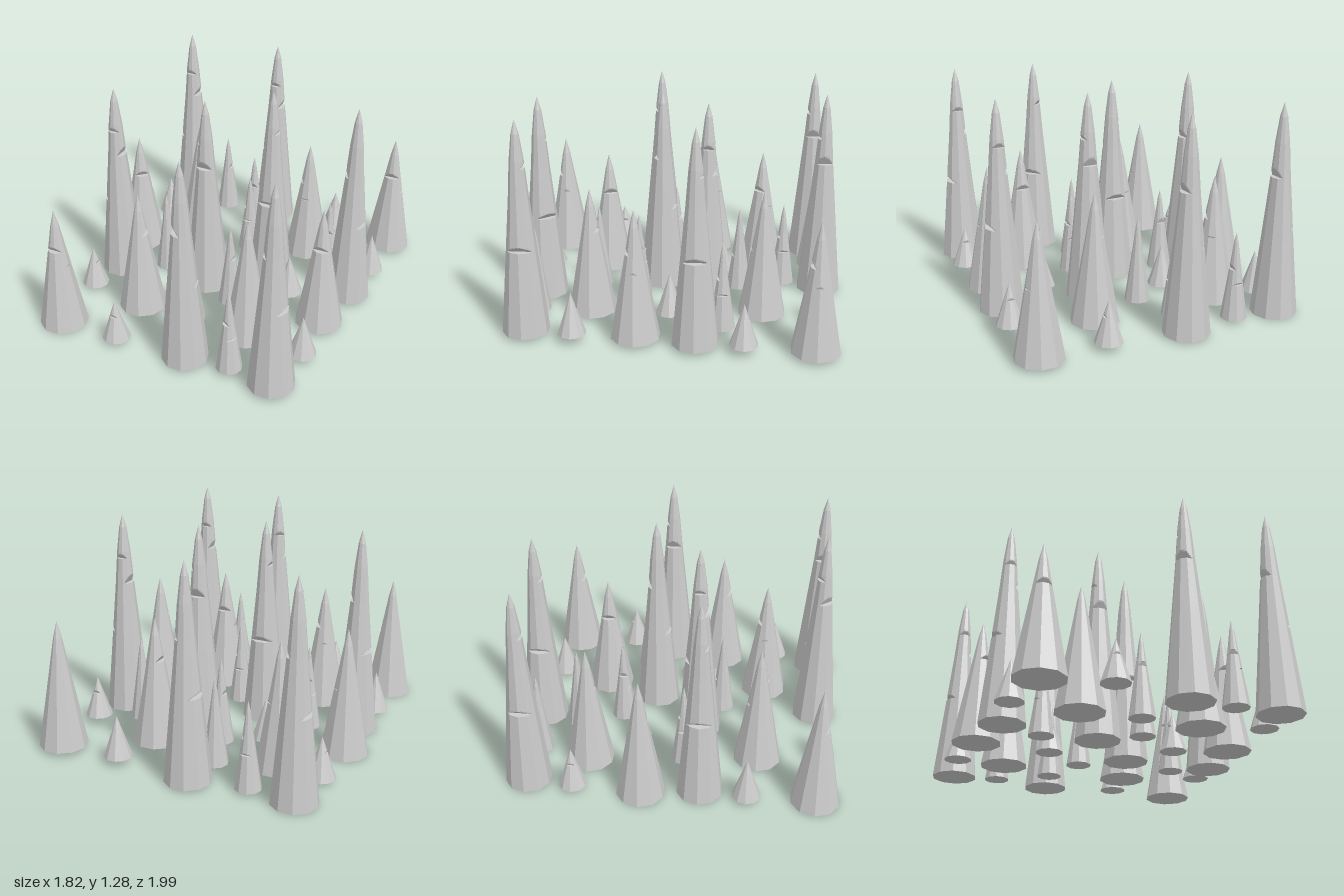
import * as THREE from 'three';

const SIDES = 10, SUB = 5, N = SIDES * SUB, STEPS = 5;

// profile: [radius, height] from base to tip
// cuts: [floor height, ceiling height, turn in degrees from the spike's heading, depth left as share of radius]
const TYPES = {
  tallSpike: {
    lift: 0, profile: [[0.137, 0], [0.057, 0.83], [0.041, 1.03], [0.022, 1.18], [0, 1.26]],
    cuts: [[0.51, 0.545, 0, 0.55], [0.83, 0.885, 180, 0.4], [0.985, 1.015, -90, 0.5]],
  },
  broadSpike: {
    lift: 0, profile: [[0.144, 0], [0.053, 0.51], [0.025, 0.67], [0, 0.77]],
    cuts: [[0.405, 0.42, -90, 0.88], [0.51, 0.545, 0, 0.4]],
  },
  thinSpike: {
    lift: 0.01, profile: [[0.077, 0], [0.03, 0.33], [0.013, 0.46], [0, 0.52]],
    cuts: [[0.21, 0.225, -90, 0.6], [0.3, 0.335, 0, 0.45]],
  },
  shortSpike: {
    lift: 0.025, profile: [[0.083, 0], [0, 0.25]],
    cuts: [[0.15, 0.168, 0, 0.6]],
  },
};

// [x, z, heading in degrees]
const PLACES = {
  tallSpike: [
    [-0.72, -0.835, 180], [-0.1, -0.87, 180], [0.175, -0.175, 90], [0.72, -0.135, 0],
    [-0.715, 0.18, 180], [-0.13, 0.12, -90], [0.095, 0.845, -40], [0.635, 0.85, 0],
  ],
  broadSpike: [
    [0.765, -0.81, 90], [-0.495, -0.505, 45], [0.295, -0.51, 180], [-0.765, -0.16, 45],
    [0.665, 0.21, 90], [-0.385, 0.5, -20], [0.33, 0.51, -90], [-0.73, 0.85, 90],
  ],
  thinSpike: [
    [-0.445, -0.825, 0], [-0.155, -0.64, 90], [-0.06, -0.365, 180], [0.53, -0.28, 90],
    [-0.45, 0.06, -90], [0.095, 0.25, 0], [-0.03, 0.515, 90], [0.37, 0.835, 120],
  ],
  shortSpike: [
    [0.37, -0.84, 0], [-0.77, -0.56, 180], [0.775, -0.41, -90], [-0.295, -0.24, 90],
    [0.395, 0.035, 180], [-0.76, 0.455, 0], [0.705, 0.57, -90], [-0.34, 0.88, 90],
  ],
};

function radiusAt(profile, y) {
  for (let i = 1; i < profile.length; i++) {
    const [r0, y0] = profile[i - 1], [r1, y1] = profile[i];
    if (y <= y1) return r0 + (r1 - r0) * (y - y0) / (y1 - y0);
  }
  return 0;
}

// Ten-sided ring, flattened against a cutting plane where a notch passes
function ring(r, y, angle, limit) {
  const pts = [], nx = Math.cos(angle), nz = Math.sin(angle);
  for (let i = 0; i < N; i++) {
    const k = Math.floor(i / SUB), t = (i % SUB) / SUB;
    const a = k / SIDES * Math.PI * 2, b = (k + 1) / SIDES * Math.PI * 2;
    let x = r * (Math.cos(a) * (1 - t) + Math.cos(b) * t);
    let z = r * (Math.sin(a) * (1 - t) + Math.sin(b) * t);
    const over = Math.max(0, x * nx + z * nz - limit);
    pts.push(x - nx * over, y, z - nz * over);
  }
  return pts;
}

function spikeGeometry({ profile, cuts }, heading) {
  const rings = profile.slice(0, -1).map(([r, y]) => ({ y, order: 0, pts: ring(r, y, 0, 9) }));
  // Wedge notches: flat floor, ceiling sloping down to the inside
  for (const [y0, y1, turn, share] of cuts) {
    const a = THREE.MathUtils.degToRad(heading + turn);
    const r0 = radiusAt(profile, y0), r1 = radiusAt(profile, y1);
    rings.push({ y: y0, order: 1, pts: ring(r0, y0, a, 9) });
    for (let s = 0; s <= STEPS; s++) {
      const t = s / STEPS, y = y0 + (y1 - y0) * t;
      const limit = r0 * share * (1 - t) + r1 * t;
      rings.push({ y, order: 2, pts: ring(radiusAt(profile, y), y, a, limit) });
    }
  }
  rings.sort((p, q) => p.y - q.y || p.order - q.order);

  const pos = rings.flatMap((r) => r.pts), index = [];
  const tip = pos.length / 3, base = tip + 1, last = (rings.length - 1) * N;
  pos.push(0, profile[profile.length - 1][1], 0, 0, 0, 0);
  for (let i = 0; i < N; i++) {
    const j = (i + 1) % N;
    for (let k = 0; k < last; k += N) {
      index.push(k + i, k + N + i, k + j, k + N + i, k + N + j, k + j);
    }
    index.push(last + i, tip, last + j, base, i, j);
  }
  const indexed = new THREE.BufferGeometry();
  indexed.setAttribute('position', new THREE.Float32BufferAttribute(pos, 3));
  indexed.setIndex(index);
  const geometry = indexed.toNonIndexed();
  geometry.computeVertexNormals();
  return geometry;
}

export function createModel() {
  const model = new THREE.Group();
  model.name = 'spikeField';
  const material = new THREE.MeshStandardMaterial({ color: 0xcccccc, flatShading: true });
  for (const [name, places] of Object.entries(PLACES)) {
    const group = new THREE.Group();
    group.name = name + 's';
    places.forEach(([x, z, heading], i) => {
      const spike = new THREE.Mesh(spikeGeometry(TYPES[name], heading), material);
      spike.name = name + (i + 1);
      // The bases rise slightly towards +x
      spike.position.set(x, 0.013 + 0.015 * x + TYPES[name].lift, z);
      group.add(spike);
    });
    model.add(group);
  }
  return model;
}
